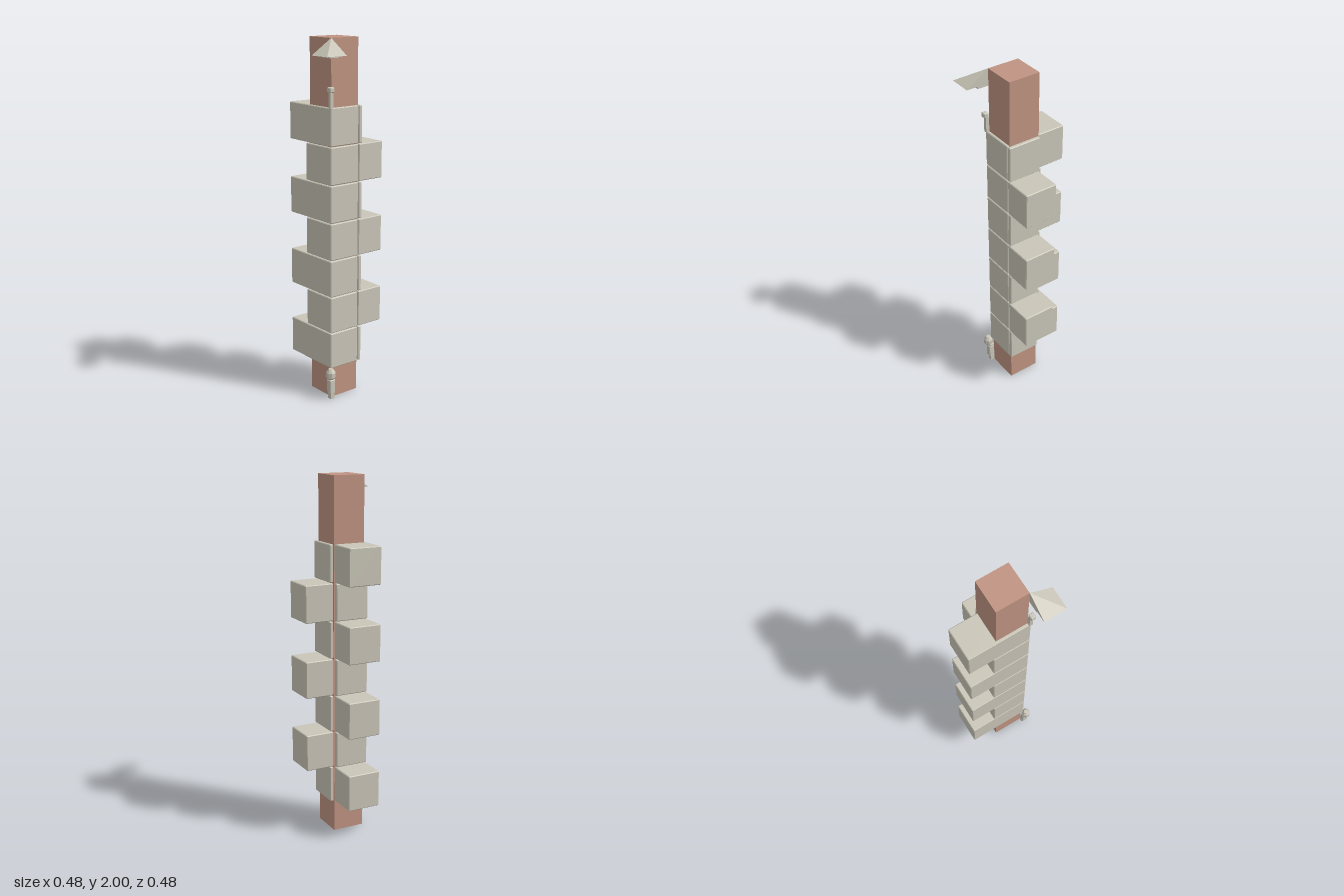
import * as THREE from 'three';
import { ConvexGeometry } from 'three/addons/geometries/ConvexGeometry.js';

const brick = new THREE.MeshStandardMaterial({ color: 0xc09482 });
brick.name = 'brick';
const stone = new THREE.MeshStandardMaterial({ color: 0xcac6b8 });
stone.name = 'stone';

const CORNER = 0.11; // outer corner of the core, shared by x and z

function add(group, name, geometry, material) {
  const mesh = new THREE.Mesh(geometry, material);
  mesh.name = name;
  group.add(mesh);
  return mesh;
}

// Box given by its limits
function box([x0, x1], [y0, y1], [z0, z1]) {
  return new THREE.BoxGeometry(x1 - x0, y1 - y0, z1 - z0)
    .translate((x0 + x1) / 2, (y0 + y1) / 2, (z0 + z1) / 2);
}

// Box with chamfered edges: each corner becomes three points
function chamferedBox(xr, yr, zr, c = 0.004) {
  const points = [];
  for (const i of [0, 1]) for (const j of [0, 1]) for (const k of [0, 1]) {
    const corner = [xr[i], yr[j], zr[k]];
    const inward = [1 - 2 * i, 1 - 2 * j, 1 - 2 * k].map((s) => s * c);
    for (let axis = 0; axis < 3; axis++) {
      points.push(new THREE.Vector3(...corner.map((v, a) => (a === axis ? v : v + inward[a]))));
    }
  }
  return new ConvexGeometry(points);
}

// Square piece that sits outside the core's front corner
const cornerBox = (size, y0, y1) =>
  box([CORNER, CORNER + size], [y0, y1], [CORNER, CORNER + size]);

export function createModel() {
  const model = new THREE.Group();
  model.name = 'quoinedCorner';

  // Square core
  add(model, 'core', box([-0.072, CORNER], [0, 2], [-0.072, CORNER]), brick);

  // Seven courses, the long block alternating between the two walls
  const courses = new THREE.Group();
  courses.name = 'quoinCourses';
  model.add(courses);
  for (let i = 0; i < 7; i++) {
    const y0 = 0.178 + i * 0.2095;
    const yr = [y0, y0 + 0.205];
    const frontLong = i % 2 === 0;
    add(courses, 'frontBlock',
      chamferedBox([frontLong ? -0.238 : -0.093, 0.124], yr, [-0.067, 0.124]), stone);
    add(courses, 'backBlock',
      chamferedBox([-0.067, 0.124], yr, [frontLong ? -0.093 : -0.238, -0.072]), stone);
  }

  // Quarter-pyramid cap with its apex at the core's top corner
  const cap = new THREE.Group();
  cap.name = 'cornerCap';
  model.add(cap);
  const out = 0.238, eave = 1.917;
  add(cap, 'capRoof', new ConvexGeometry([
    new THREE.Vector3(CORNER, 2, CORNER),
    new THREE.Vector3(CORNER, eave, CORNER),
    new THREE.Vector3(out, eave, CORNER),
    new THREE.Vector3(CORNER, eave, out),
    new THREE.Vector3(out, eave, out),
  ]), stone);
  add(cap, 'capBracket', cornerBox(0.064, 1.904, eave), stone);

  // Slim finial above the top course
  const finial = new THREE.Group();
  finial.name = 'upperFinial';
  model.add(finial);
  add(finial, 'finialShaft', cornerBox(0.019, 1.638, 1.724), stone);
  add(finial, 'finialCapital', chamferedBox([0.11, 0.14], [1.722, 1.75], [0.11, 0.14]), stone);

  // Small post at the foot with a faceted head
  const post = new THREE.Group();
  post.name = 'lowerPost';
  model.add(post);
  add(post, 'postFoot', cornerBox(0.025, 0, 0.036), stone);
  add(post, 'postShaft', chamferedBox([0.11, 0.144], [0.034, 0.118], [0.11, 0.144]), stone);
  add(post, 'postNeck', cornerBox(0.028, 0.117, 0.128), stone);
  const head = [];
  for (const [r, y] of [[0.016, 0.123], [0.027, 0.136], [0.027, 0.164], [0.013, 0.185]]) {
    for (let k = 0; k < 8; k++) {
      const a = (k + 0.5) * Math.PI / 4;
      head.push(new THREE.Vector3(0.135 + r * Math.cos(a), y, 0.135 + r * Math.sin(a)));
    }
  }
  add(post, 'postHead', new ConvexGeometry(head), stone);

  return model;
}
